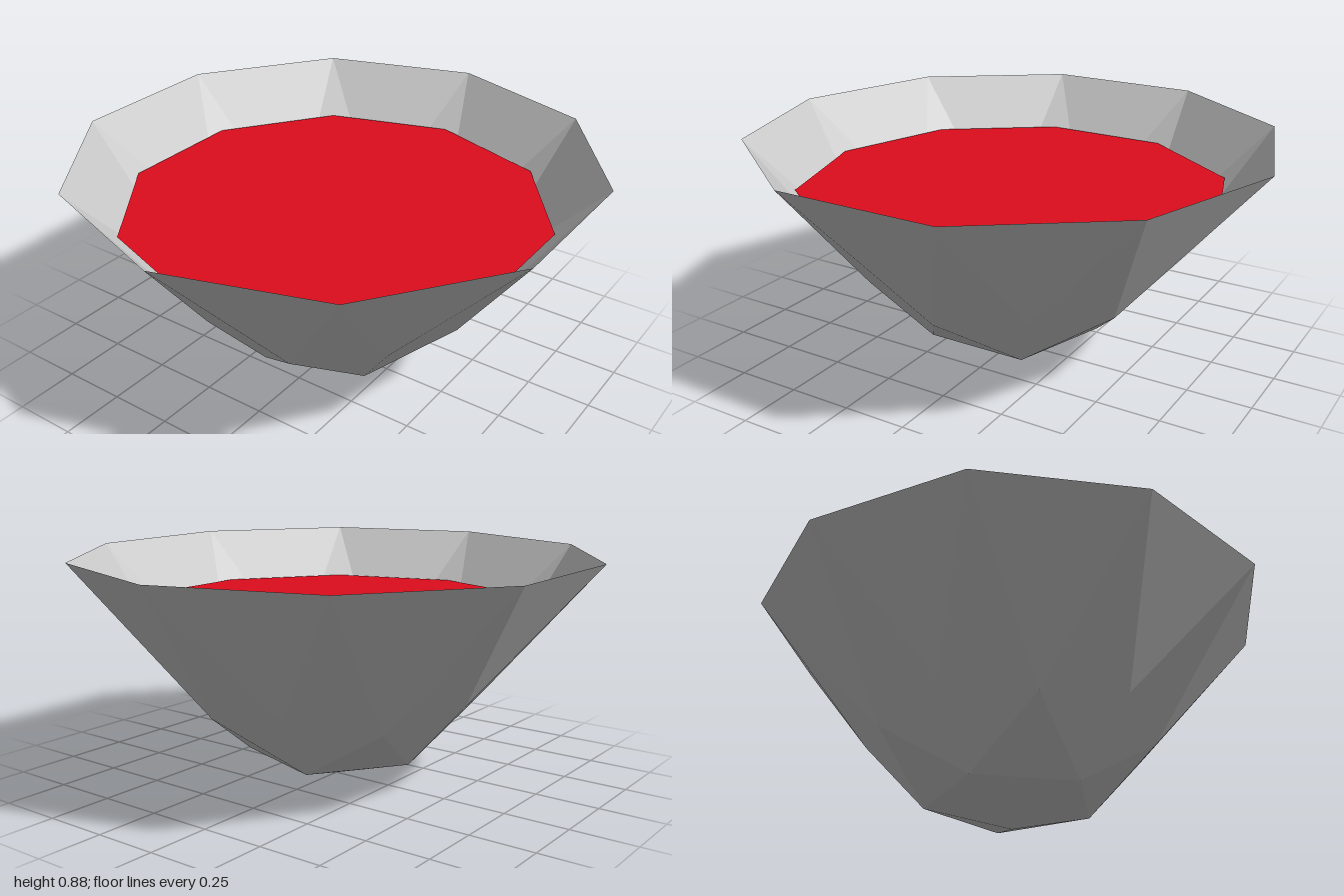
import * as THREE from 'three';

const RIM_Y = 0.877;
const LIQUID_Y = 0.675;

// Point on a horizontal ring, angle in degrees from +x towards +z
function ringPoint(radius, y, degrees) {
  const a = THREE.MathUtils.degToRad(degrees);
  return [radius * Math.cos(a), y, radius * Math.sin(a)];
}

// Faceted half-icosphere shell, repeated in five sectors
function bowlGeometry() {
  const positions = [];
  const tri = (...corners) => corners.forEach((c) => positions.push(...c));
  const pole = [0, 0, 0];
  const low = (k) => ringPoint(0.34, 0.1, 36 + 72 * k);
  const corner = (k) => ringPoint(0.58, 0.366, 36 + 72 * k);
  const middle = (k) => ringPoint(0.55, 0.31, 72 + 72 * k);
  const rim = (k, side) => ringPoint(1, RIM_Y, 36 + 72 * k + 18 * side);

  for (let k = 0; k < 5; k++) {
    // base
    tri(pole, low(k), low(k + 1));
    tri(low(k), middle(k), low(k + 1));
    tri(low(k), corner(k), middle(k));
    tri(low(k), middle(k - 1), corner(k));
    // wall
    tri(corner(k), rim(k, -1), rim(k, 1));
    tri(corner(k), rim(k, 1), middle(k));
    tri(middle(k), rim(k, 1), rim(k + 1, -1));
    tri(middle(k), rim(k + 1, -1), corner(k + 1));
  }
  const geometry = new THREE.BufferGeometry();
  geometry.setAttribute('position', new THREE.Float32BufferAttribute(positions, 3));
  geometry.computeVertexNormals();
  return geometry;
}

export function createModel() {
  const group = new THREE.Group();
  group.name = 'filledBowl';

  const bowl = new THREE.Mesh(
    bowlGeometry(),
    new THREE.MeshStandardMaterial({ color: 0xcccccc, flatShading: true, side: THREE.DoubleSide })
  );
  bowl.name = 'bowl';

  // Flat ten-sided liquid surface meeting the wall
  const liquid = new THREE.Mesh(
    new THREE.CircleGeometry(0.822, 10, Math.PI / 2).rotateX(-Math.PI / 2),
    new THREE.MeshStandardMaterial({ color: 0xdd0d1c, flatShading: true, side: THREE.DoubleSide })
  );
  liquid.name = 'liquidSurface';
  liquid.position.y = LIQUID_Y;

  group.add(bowl, liquid);
  return group;
}
